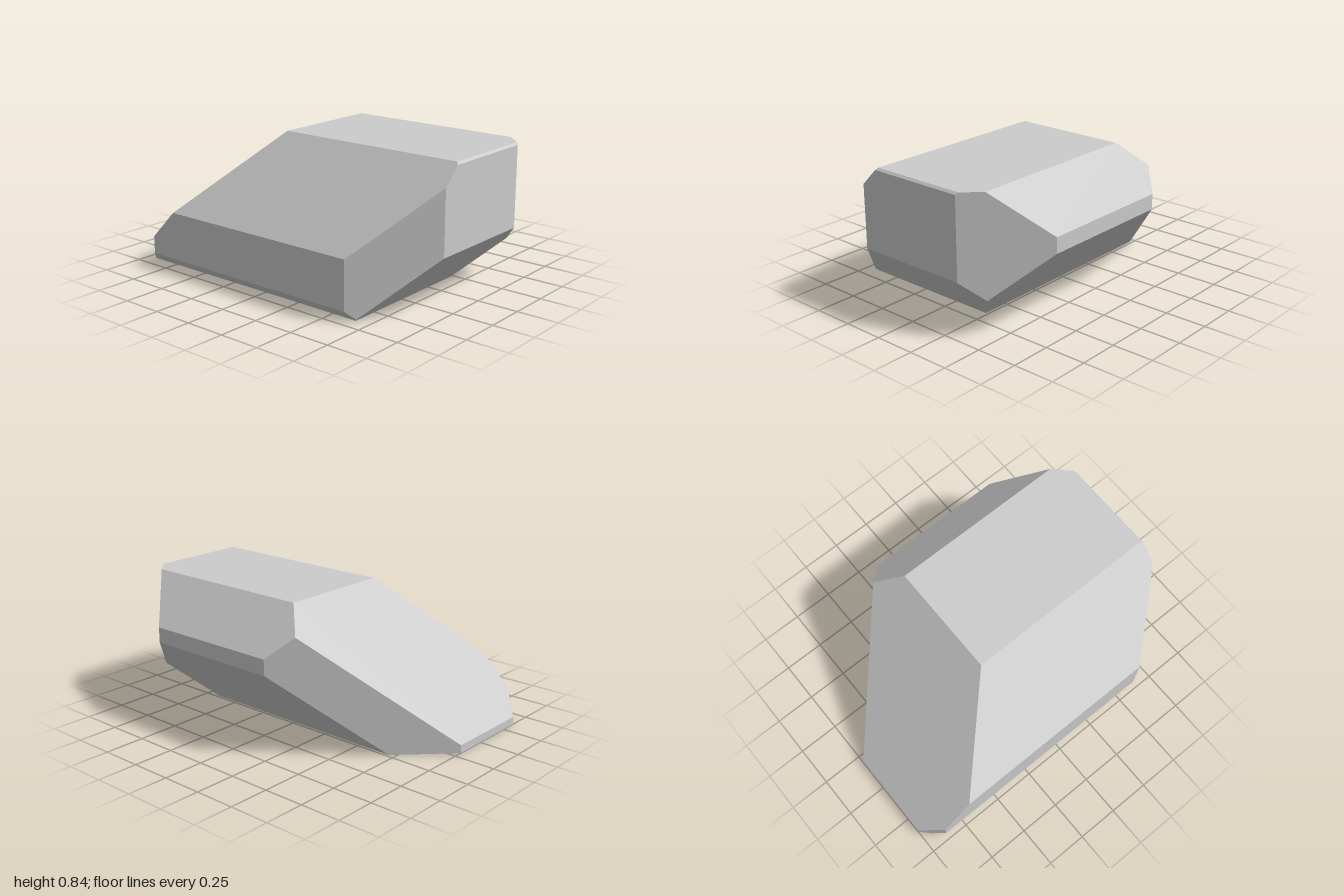
import * as THREE from 'three';

// Bounding planes of the faceted block: [nx, ny, nz, limit], meaning nx*x + ny*y + nz*z <= limit
const PLANES = [
  [1, 0, 0, 0.721], [-1, 0, 0, 0.721], // sides
  [0, 1, 0, 0.839], [0, -1, 0, 0], // top, bottom
  [0, 0, 1, 1], [0, 0, -1, 1], // front, back
  [1, 1, 0, 1.302], [-1, 1, 0, 1.073], // upper side bevels
  [1, -1, 0, 0.234], [-1, -1, 0, 0.661], // lower side bevels
  [0, 1, 1, 1.826], [0, 1, -1, 1.048], // upper front and back bevels
  [0, -1, 1, 0.66], // lower front bevel
  [1, 0, 1, 1.355], [-1, 0, 1, 1.35], // front corner bevels
  [1, 0, -1, 0.947], [-1, 0, -1, 1.6], // back corner bevels
].map(([x, y, z, d]) => ({ n: new THREE.Vector3(x, y, z), d }));

// Corners: points where three planes meet and that lie inside all the others
function findCorners(planes) {
  const corners = [];
  for (let i = 0; i < planes.length; i++)
    for (let j = i + 1; j < planes.length; j++)
      for (let k = j + 1; k < planes.length; k++) {
        const [a, b, c] = [planes[i], planes[j], planes[k]];
        const bc = b.n.clone().cross(c.n);
        const det = a.n.dot(bc);
        if (Math.abs(det) < 1e-6) continue;
        const p = bc.multiplyScalar(a.d)
          .addScaledVector(c.n.clone().cross(a.n), b.d)
          .addScaledVector(a.n.clone().cross(b.n), c.d)
          .divideScalar(det);
        const inside = planes.every(({ n, d }) => n.dot(p) <= d + 1e-6);
        if (inside && !corners.some((q) => q.distanceTo(p) < 1e-5)) corners.push(p);
      }
  return corners;
}

// Each plane becomes one flat polygon: its corners sorted around the normal, then fanned
function facetGeometry(planes) {
  const corners = findCorners(planes);
  const positions = [];
  const normals = [];
  for (const { n, d } of planes) {
    const ring = corners.filter((p) => Math.abs(n.dot(p) - d) < 1e-5);
    if (ring.length < 3) continue;
    const normal = n.clone().normalize();
    const centre = ring.reduce((s, p) => s.add(p), new THREE.Vector3()).divideScalar(ring.length);
    const u = ring[0].clone().sub(centre).normalize();
    const v = normal.clone().cross(u);
    const angle = (p) => {
      const r = p.clone().sub(centre);
      return Math.atan2(r.dot(v), r.dot(u));
    };
    ring.sort((p, q) => angle(p) - angle(q));
    for (let i = 1; i < ring.length - 1; i++)
      for (const p of [ring[0], ring[i], ring[i + 1]]) {
        positions.push(p.x, p.y, p.z);
        normals.push(normal.x, normal.y, normal.z);
      }
  }
  const geometry = new THREE.BufferGeometry();
  geometry.setAttribute('position', new THREE.Float32BufferAttribute(positions, 3));
  geometry.setAttribute('normal', new THREE.Float32BufferAttribute(normals, 3));
  return geometry;
}

export function createModel() {
  const model = new THREE.Group();
  model.name = 'facetedBlock';
  const material = new THREE.MeshStandardMaterial({ color: 0xcccccc, flatShading: true });
  const block = new THREE.Mesh(facetGeometry(PLANES), material);
  block.name = 'block';
  model.add(block);
  return model;
}
